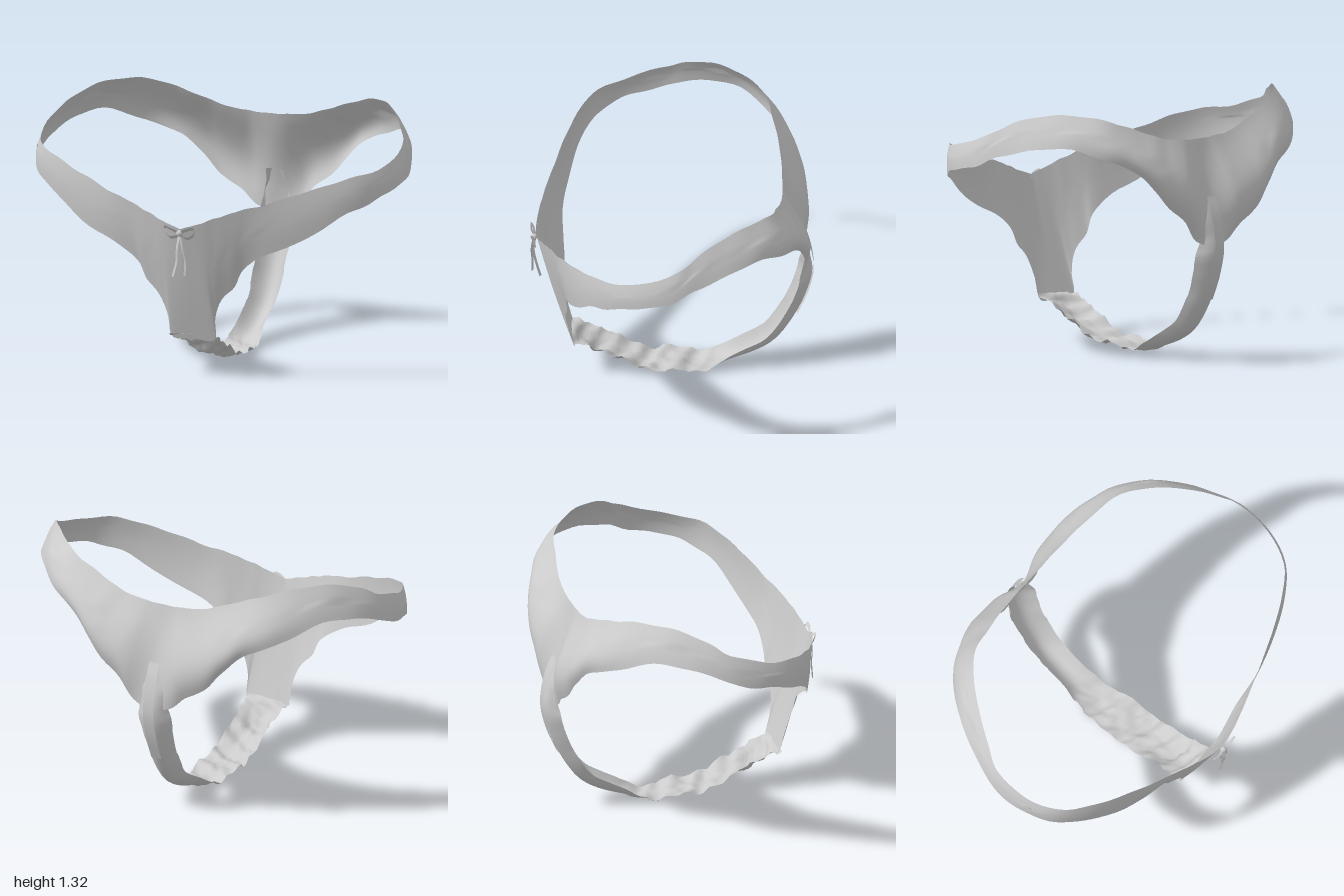
import * as THREE from 'three';
import { mergeVertices } from 'three/addons/utils/BufferGeometryUtils.js';

const material = new THREE.MeshStandardMaterial({ color: 0xcccccc, side: THREE.DoubleSide });
const V = (x, y, z) => new THREE.Vector3(x, y, z);
const curve = (pts) => new THREE.CatmullRomCurve3(pts.map((p) => V(...p)));
const { smoothstep } = THREE.MathUtils;

// Small repeatable noise in -1..1
const noise = (i, j) => {
  const s = Math.sin(i * 127.1 + j * 311.7) * 43758.5453;
  return (s - Math.floor(s)) * 2 - 1;
};

// Cloth sheet: place(u, v, i, j) gives a point; u runs across, v runs downwards
function sheet(name, nu, nv, place) {
  const geo = new THREE.PlaneGeometry(1, 1, nu, nv);
  const pos = geo.attributes.position;
  for (let j = 0; j <= nv; j++) {
    for (let i = 0; i <= nu; i++) {
      const p = place(i / nu, j / nv, i, j);
      pos.setXYZ(j * (nu + 1) + i, p.x, p.y, p.z);
    }
  }
  geo.deleteAttribute('uv');
  geo.deleteAttribute('normal');
  const merged = mergeVertices(geo, 1e-4);
  merged.computeVertexNormals();
  const mesh = new THREE.Mesh(merged, material);
  mesh.name = name;
  return mesh;
}

// Flat ribbon along a path, widened along a fixed direction
function ribbon(name, pts, width, dir, segments = 24) {
  const path = curve(pts);
  return sheet(name, 1, segments, (u, v) => path.getPoint(v).addScaledVector(dir, (u - 0.5) * width));
}

// Upper edge from front centre, round the left side, to back centre
const topEdge = curve([
  [0, 0.82, 0.705], [0.06, 0.84, 0.7], [0.12, 0.86, 0.69], [0.18, 0.885, 0.675],
  [0.25, 0.91, 0.655], [0.33, 0.935, 0.63], [0.45, 0.97, 0.59], [0.6, 1.02, 0.535],
  [0.75, 1.075, 0.465], [0.88, 1.105, 0.37], [0.955, 1.14, 0.2], [0.955, 1.2, 0],
  [0.9, 1.265, -0.1], [0.8, 1.31, -0.25], [0.68, 1.32, -0.39], [0.55, 1.28, -0.49],
  [0.42, 1.24, -0.52], [0.3, 1.19, -0.545], [0.2, 1.165, -0.555], [0.12, 1.155, -0.56],
  [0.06, 1.15, -0.56], [0, 1.15, -0.56],
]);
// Matching lower edge, which forms the leg openings
const legEdge = curve([
  [0, 0.2, 0.51], [0.115, 0.2, 0.51], [0.13, 0.32, 0.54], [0.165, 0.42, 0.555],
  [0.24, 0.5, 0.55], [0.29, 0.6, 0.555], [0.43, 0.69, 0.555], [0.63, 0.785, 0.51],
  [0.8, 0.9, 0.44], [0.92, 0.965, 0.34], [0.985, 1.005, 0.2], [1, 1.045, 0.04],
  [0.965, 1.1, -0.1], [0.89, 1.15, -0.27], [0.78, 1.155, -0.43], [0.64, 1.1, -0.56],
  [0.5, 1.03, -0.62], [0.4, 0.94, -0.655], [0.32, 0.84, -0.67], [0.2, 0.75, -0.675],
  [0.12, 0.64, -0.67], [0, 0.6, -0.69],
]);

// Waistband with front and back panels in one sheet
function panels() {
  return sheet('waistbandAndPanels', 176, 12, (u, v) => {
    const s = u * 2 - 1;
    const t = Math.abs(s);
    const low = legEdge.getPoint(t);
    // the right rear leg opening hangs a little lower
    if (s < 0) low.y -= 0.05 * smoothstep(t, 0.62, 0.7) * (1 - smoothstep(t, 0.88, 0.95));
    const p = topEdge.getPoint(t).lerp(low, v);
    const outward = V(p.x, 0, p.z).normalize();
    const back = smoothstep(t, 0.6, 0.85);
    const cleft = smoothstep(t, 0.93, 1);
    const bulge = 0.008 + 0.057 * back - 0.05 * cleft;
    // fullest below the middle, tucked in at the leg hem
    p.addScaledVector(outward, bulge * Math.sin(Math.PI * Math.pow(v, 1 + 0.5 * back)));
    // soft ripples along the hems
    const ripple = (Math.sin(t * 64) + 0.8 * Math.sin(t * 107 + s * 3)) * 0.004 * Math.sin(Math.PI * t);
    p.y += ripple * (v < 0.5 ? 1 : -1);
    p.x *= Math.sign(s);
    return p;
  });
}

// Crotch strap: centre line stored as [half width, y, z]; its end lies inside the back panel
function strap() {
  const line = curve([
    [0.125, 0.225, 0.525], [0.115, 0.18, 0.47], [0.105, 0.125, 0.4], [0.11, 0.085, 0.3],
    [0.105, 0.055, 0.2], [0.11, 0.03, 0.1], [0.115, 0.035, 0], [0.1, 0.012, -0.1],
    [0.09, 0.015, -0.2], [0.075, 0.045, -0.3], [0.075, 0.09, -0.42], [0.08, 0.155, -0.52],
    [0.085, 0.3, -0.62], [0.095, 0.45, -0.685], [0.095, 0.58, -0.715], [0.075, 0.68, -0.7],
    [0.055, 0.77, -0.675], [0.045, 0.84, -0.65],
  ]);
  return sheet('crotchStrap', 10, 80, (u, v, i, j) => {
    const c = line.getPoint(v);
    const s = u * 2 - 1;
    const tangent = line.getTangent(v).setX(0).normalize();
    const inward = V(0, -tangent.z, tangent.y);
    const crumple = 1 - smoothstep(v, 0.4, 0.55);
    const front = smoothstep(v, 0.02, 0.1) * (1 - smoothstep(v, 0.15, 0.3));
    const rear = smoothstep(v, 0.42, 0.6) * (1 - smoothstep(v, 0.82, 0.92));
    const curl = (0.012 + 0.035 * front + 0.055 * rear) * s * s;
    const fold = crumple * (0.01 * noise(i, Math.floor(j / 2)) + 0.01 * Math.sin(j * 1.1 + s * 2.5));
    const p = V(s * c.x * (1 + 0.06 * noise(Math.sign(s), Math.floor(j / 3))), c.y, c.z);
    p.addScaledVector(inward, curl + fold);
    p.y = Math.max(p.y, 0);
    return p;
  });
}

// Bow with two loops, two tails and a knot
function bow() {
  const group = new THREE.Group();
  group.name = 'bow';
  const wide = V(0, 0.8, 0.6).normalize();
  for (const s of [-1, 1]) {
    group.add(ribbon('bowLoop', [
      [0, 0.8, 0.71], [s * 0.04, 0.82, 0.725], [s * 0.08, 0.83, 0.72], [s * 0.075, 0.795, 0.71],
      [s * 0.045, 0.775, 0.715], [0, 0.79, 0.71],
    ], 0.02, wide));
  }
  const side = V(0.8, 0, 0.6);
  group.add(ribbon('bowTail', [[0, 0.8, 0.715], [-0.01, 0.72, 0.725], [-0.015, 0.65, 0.72], [-0.035, 0.57, 0.72]], 0.018, side));
  group.add(ribbon('bowTail', [[0, 0.8, 0.715], [0.015, 0.72, 0.715], [0.025, 0.65, 0.7], [0.015, 0.57, 0.68]], 0.018, side));
  const knot = new THREE.Mesh(new THREE.SphereGeometry(0.017, 12, 8), material);
  knot.name = 'bowKnot';
  knot.position.set(0, 0.8, 0.715);
  group.add(knot);
  return group;
}

export function createModel() {
  const model = new THREE.Group();
  model.name = 'briefs';
  model.add(panels(), strap(), bow());
  // Narrow seam tape down the middle of the back
  model.add(ribbon('backSeamTape', [
    [0, 0.86, -0.655], [0, 0.78, -0.69], [0, 0.68, -0.715], [0, 0.58, -0.72], [0, 0.45, -0.69], [0, 0.32, -0.635],
  ], 0.06, V(1, 0, 0)));
  return model;
}
